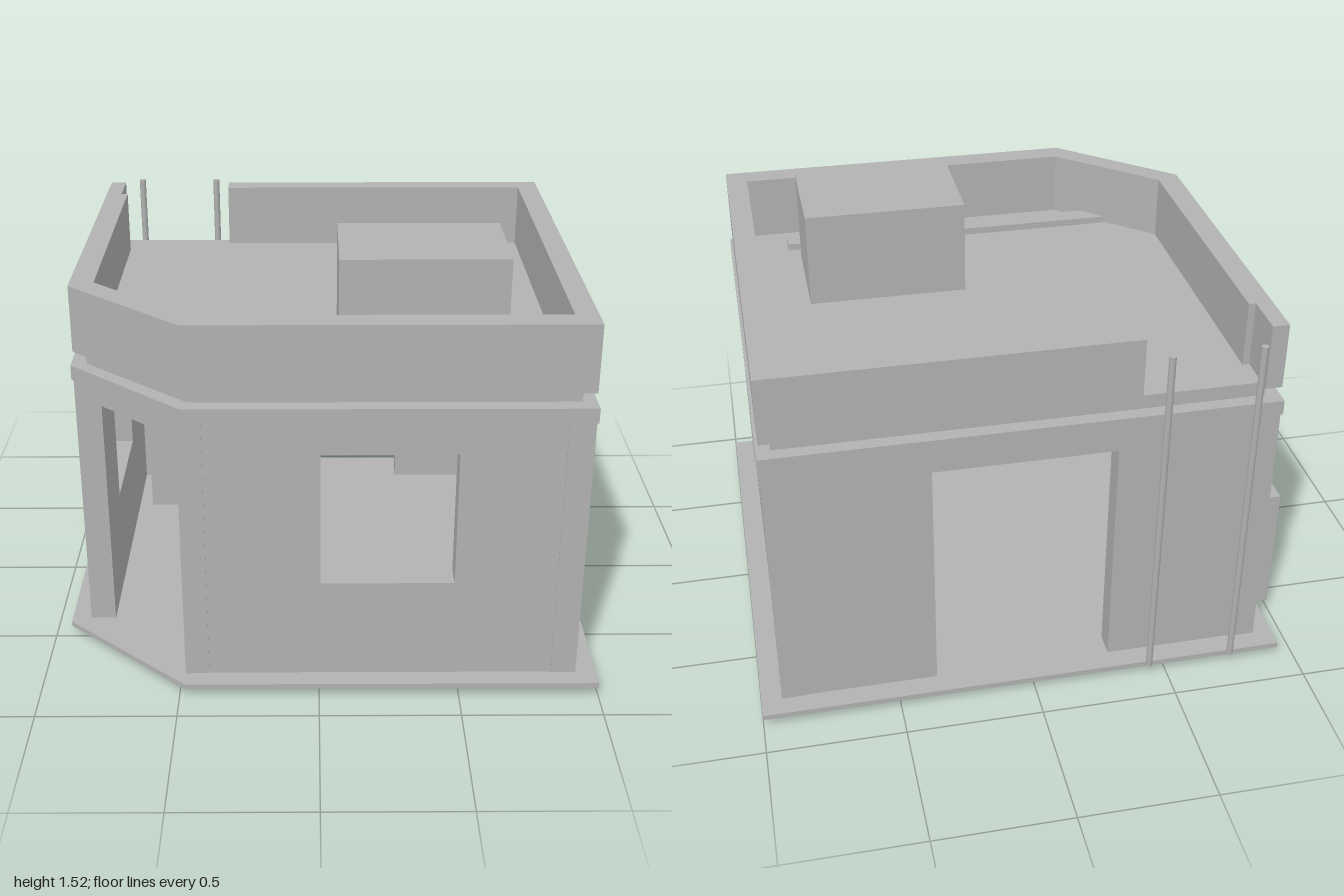
import * as THREE from 'three';

export function createModel() {
  const group = new THREE.Group();
  const grey = new THREE.MeshStandardMaterial({ color: 0xb2b2b2 });
  grey.name = 'plain grey';

  const add = (name, geometry) => {
    const mesh = new THREE.Mesh(geometry, grey);
    mesh.name = name;
    group.add(mesh);
    return mesh;
  };

  // Box given by its limits on each axis
  const box = (name, x0, x1, y0, y1, z0, z1) =>
    add(name, new THREE.BoxGeometry(x1 - x0, y1 - y0, z1 - z0)
      .translate((x0 + x1) / 2, (y0 + y1) / 2, (z0 + z1) / 2));

  // Floor-plan polygon of [x, z] points raised from y0 to y1
  const plan = (name, points, y0, y1) => {
    const shape = new THREE.Shape(points.map(([x, z]) => new THREE.Vector2(x, -z)));
    const geo = new THREE.ExtrudeGeometry(shape, { depth: y1 - y0, bevelEnabled: false });
    add(name, geo.rotateX(-Math.PI / 2).translate(0, y0, 0));
  };

  // Rectangle with the front corner on the -x side cut off at (x0, cz) - (cx, z1)
  const cutRect = (x0, x1, z0, z1, cx, cz) =>
    [[x0, z0], [x1, z0], [x1, z1], [cx, z1], [x0, cz]];

  const FLOOR = 0.055, TOP = 1.055;

  // Upright wall outline with an optional window, extruded by its thickness
  const wall = (outline, thickness, window) => {
    const shape = new THREE.Shape(outline.map(([u, y]) => new THREE.Vector2(u, y)));
    if (window) {
      const [a, b] = window;
      shape.holes.push(new THREE.Path([[a, 0.43], [a, 0.935], [b, 0.935], [b, 0.43]]
        .map(([u, y]) => new THREE.Vector2(u, y))));
    }
    return new THREE.ExtrudeGeometry(shape, { depth: thickness, bevelEnabled: false });
  };
  const rect = (a, b) => [[a, FLOOR], [b, FLOOR], [b, TOP], [a, TOP]];

  // Foundation and floor slab
  plan('foundation', cutRect(-0.82, 0.88, -0.755, 0.775, -0.44, 0.445), 0, 0.035);
  plan('floorSlab', cutRect(-0.94, 1.0, -0.875, 0.89, -0.48, 0.485), 0.035, FLOOR);

  // Corner posts; the cut corner is an open entrance between two of them
  [
    [0.835, 0.925, 0.73, 0.822], [0.835, 0.925, -0.8, -0.708],
    [-0.868, -0.775, -0.8, -0.708], [-0.868, -0.775, 0.39, 0.46],
    [-0.48, -0.395, 0.73, 0.822],
  ].forEach(([x0, x1, z0, z1]) => box('cornerPost', x0, x1, FLOOR, TOP, z0, z1));

  // Wall panels with their openings, set back a hair from the posts
  add('frontWall', wall(rect(-0.395, 0.835), 0.088, [0.005, 0.475]).translate(0, 0, 0.73));
  add('backWall', wall([
    [-0.775, FLOOR], [-0.295, FLOOR], [-0.295, 0.975], [0.355, 0.975],
    [0.355, FLOOR], [0.835, FLOOR], [0.835, TOP], [-0.775, TOP],
  ], 0.088).translate(0, 0, -0.796));
  add('leftWall', wall(rect(-0.73, 0.708), 0.086, [-0.335, 0.135])
    .rotateY(Math.PI / 2).translate(0.835, 0, 0));
  add('rightWall', wall(rect(-0.39, 0.708), 0.089, [-0.165, 0.305])
    .rotateY(Math.PI / 2).translate(-0.864, 0, 0));

  // Beam over the corner entrance
  plan('entranceBeam', [[-0.825, 0.46], [-0.48, 0.772], [-0.48, 0.68], [-0.775, 0.41]], 0.975, TOP);

  // Cornice, recessed neck and roof deck
  plan('cornice', cutRect(-0.875, 0.93, -0.805, 0.83, -0.46, 0.462), TOP, 1.11);
  plan('roofDeck', cutRect(-0.82, 0.88, -0.755, 0.775, -0.44, 0.445), 1.11, 1.163);

  // Parapet ring, open at the back where the ladder arrives
  plan('parapet', [
    [-0.865, -0.793], [-0.865, 0.455], [-0.455, 0.82], [0.92, 0.82], [0.92, -0.793],
    [-0.37, -0.793], [-0.37, -0.715], [0.84, -0.715], [0.84, 0.73], [-0.43, 0.73],
    [-0.78, 0.42], [-0.78, -0.63], [-0.805, -0.63], [-0.805, -0.793],
  ], 1.16, 1.405);

  // Rooftop unit and low step behind the front parapet
  box('rooftopUnit', 0.07, 0.66, 1.16, 1.517, 0.108, 0.508);
  plan('roofStep', [[-0.6, 0.57], [0.705, 0.57], [0.705, 0.645], [-0.52, 0.645]], 1.16, 1.19);

  // Crates inside and outside
  box('indoorCrate', -0.72, -0.45, FLOOR, 0.592, -0.7, -0.43);
  box('outdoorCrate', -1.0, -0.864, 0.03, 0.54, -0.605, -0.31);

  // Ladder poles
  for (const x of [-0.745, -0.43]) {
    add('ladderPole', new THREE.CylinderGeometry(0.013, 0.013, 1.34, 8).translate(x, 0.72, -0.886));
  }

  return group;
}
